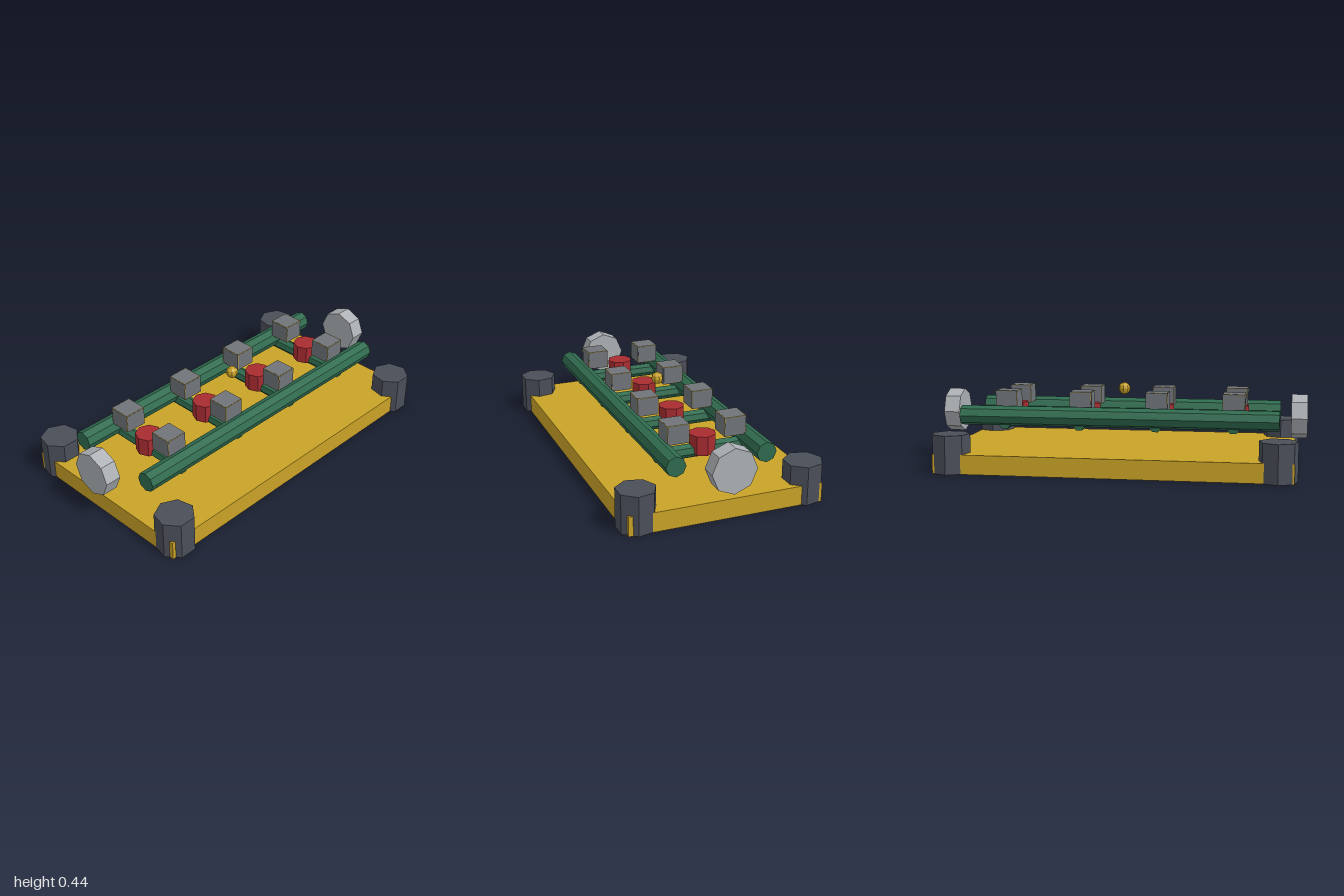
import * as THREE from 'three';

export function createModel() {
  const model = new THREE.Group();
  model.name = 'railConsole';
  const material = (name, color) => {
    const m = new THREE.MeshStandardMaterial({ color, flatShading: true });
    m.name = name;
    return m;
  };
  const gold = material('gold', 0xc9a227);
  const green = material('railGreen', 0x2f6b4f);
  const slate = material('slate', 0x4a4e58);
  const grey = material('blockGrey', 0x70757a);
  const silver = material('silver', 0xadb1b5);
  const red = material('red', 0xa82c31);

  const add = (name, geometry, mat, x, y, z, parent = model) => {
    const mesh = new THREE.Mesh(geometry, mat);
    mesh.name = name;
    mesh.position.set(x, y, z);
    parent.add(mesh);
    return mesh;
  };
  const cylinder = (r, length, sides) => new THREE.CylinderGeometry(r, r, length, sides);
  const MID = 0.005; // depth of the centre line

  // Base slab
  add('base', new THREE.BoxGeometry(1.874, 0.103, 1.026), gold, 0, 0.0515, MID);

  // Seven-sided corner posts, a corner pointing to the back
  const post = cylinder(0.102, 0.205, 7).rotateY(Math.PI);
  for (const sx of [-1, 1]) {
    for (const sz of [-1, 1]) add('cornerPost', post, slate, sx * 0.855, 0.1025, MID + sz * 0.445);
  }

  // Long rails and end wheels, both lying along x
  const rail = cylinder(0.053, 1.71, 8).rotateZ(Math.PI / 2);
  for (const sz of [-1, 1]) add('rail', rail, green, 0, 0.278, MID + sz * 0.24);
  const wheel = cylinder(0.119, 0.086, 8).rotateZ(Math.PI / 2);
  for (const sx of [-1, 1]) add('endWheel', wheel, silver, sx * 0.957, 0.276, MID);

  // Grey block with a hairline gold edge: three crossing boxes over a gold core
  const W = 0.117, H = 0.1, T = 0.004, P = 0.001;
  const core = new THREE.BoxGeometry(W, H, W);
  const faces = [
    new THREE.BoxGeometry(W + P, H - T, W - T),
    new THREE.BoxGeometry(W - T, H + P, W - T),
    new THREE.BoxGeometry(W - T, H - T, W + P),
  ];
  const addBlock = (x, z) => {
    const block = new THREE.Group();
    block.name = 'block';
    block.position.set(x, 0.36, z);
    model.add(block);
    add('blockEdges', core, gold, 0, 0, 0, block);
    for (const g of faces) add('blockFaces', g, grey, 0, 0, 0, block);
  };

  // Four stations: cross bar, red drum and a pair of blocks
  const crossBar = cylinder(0.0365, 0.512, 7).rotateX(-Math.PI / 2);
  const drum = cylinder(0.07, 0.1, 8);
  for (const x of [-0.615, -0.205, 0.205, 0.615]) {
    add('crossBar', crossBar, green, x, 0.2415, MID);
    add('drum', drum, red, x, 0.278, MID);
    for (const sz of [-1, 1]) addBlock(x, MID + sz * 0.154);
  }

  // Small ball over the centre
  add('centreBall', new THREE.SphereGeometry(0.033, 8, 6), gold, 0, 0.412, MID);

  return model;
}
